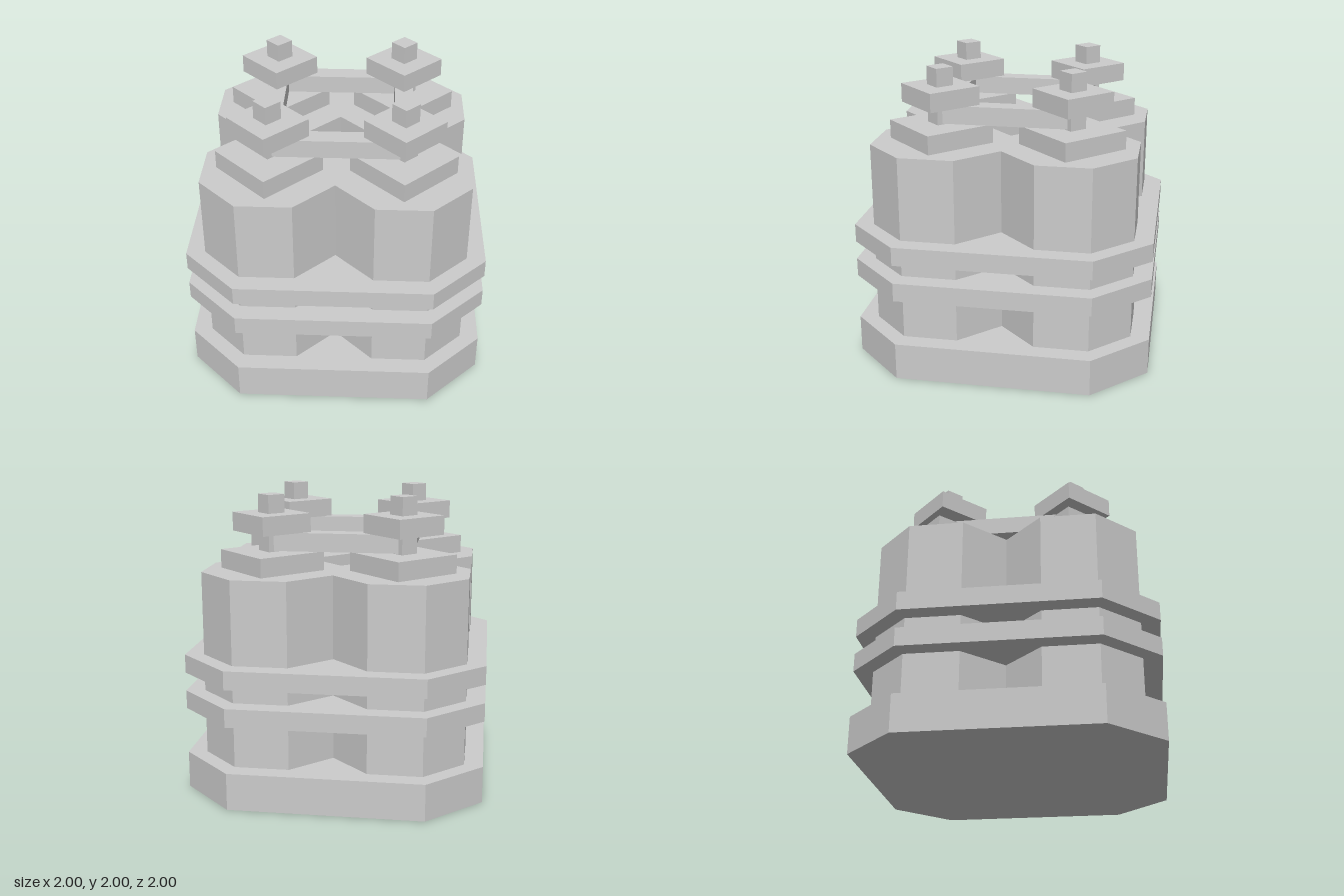
import * as THREE from 'three';

const material = new THREE.MeshStandardMaterial({ color: 0xcccccc, flatShading: true });

export function createModel() {
  const model = new THREE.Group();
  const C = 0.4375; // offset of each column axis from the centre

  const add = (name, geometry, x, y, z, parent = model) => {
    const mesh = new THREE.Mesh(geometry, material);
    mesh.name = name;
    mesh.position.set(x, y, z);
    parent.add(mesh);
    return mesh;
  };

  // Square plate with cut corners, standing on y = 0
  const plate = (height, half = 1, cut = 0.645) => {
    const shape = new THREE.Shape([
      [half, -cut], [half, cut], [cut, half], [-cut, half],
      [-half, cut], [-half, -cut], [-cut, -half], [cut, -half],
    ].map(([x, y]) => new THREE.Vector2(x, y)));
    return new THREE.ExtrudeGeometry(shape, { depth: height, bevelEnabled: false }).rotateX(-Math.PI / 2);
  };

  // Square block turned 45 degrees, given by its half diagonal
  const diamond = (halfDiagonal, height) => {
    const side = halfDiagonal * Math.SQRT2;
    return new THREE.BoxGeometry(side, height, side).rotateY(Math.PI / 4);
  };

  // Base and the two bands around the columns
  add('base', plate(0.25), 0, 0, 0);
  add('lowerBand', plate(0.125), 0, 0.565, 0);
  add('upperBand', plate(0.125), 0, 0.815, 0);

  // Four octagonal columns, each with a cap, a post and a terminal block
  const columnGeometry = plate(1.25, C, C * Math.tan(Math.PI / 8));
  const capGeometry = diamond(0.35, 0.125);
  const postGeometry = diamond(0.0884, 0.375);
  const terminalGeometry = diamond(0.263, 0.125);
  for (const sx of [-1, 1]) {
    for (const sz of [-1, 1]) {
      const cell = new THREE.Group();
      cell.name = `${sz > 0 ? 'front' : 'back'}${sx > 0 ? 'Left' : 'Right'}Cell`;
      cell.position.set(sx * C, 0, sz * C);
      model.add(cell);
      add('column', columnGeometry, 0, 0.25, 0, cell);
      add('cap', capGeometry, 0, 1.5625, 0, cell);
      add('post', postGeometry, 0, 1.8125, 0, cell);
      add('terminalBlock', terminalGeometry, 0, 1.815, 0, cell);
    }
  }

  // Beams joining neighbouring posts in a square
  const beamGeometry = new THREE.BoxGeometry(2 * C, 0.122, 0.125);
  const sides = ['front', 'left', 'back', 'right'];
  sides.forEach((side, i) => {
    const angle = i * Math.PI / 2;
    const beam = add(`${side}Beam`, beamGeometry, C * Math.sin(angle), 1.692, C * Math.cos(angle));
    beam.rotation.y = angle;
  });

  return model;
}
